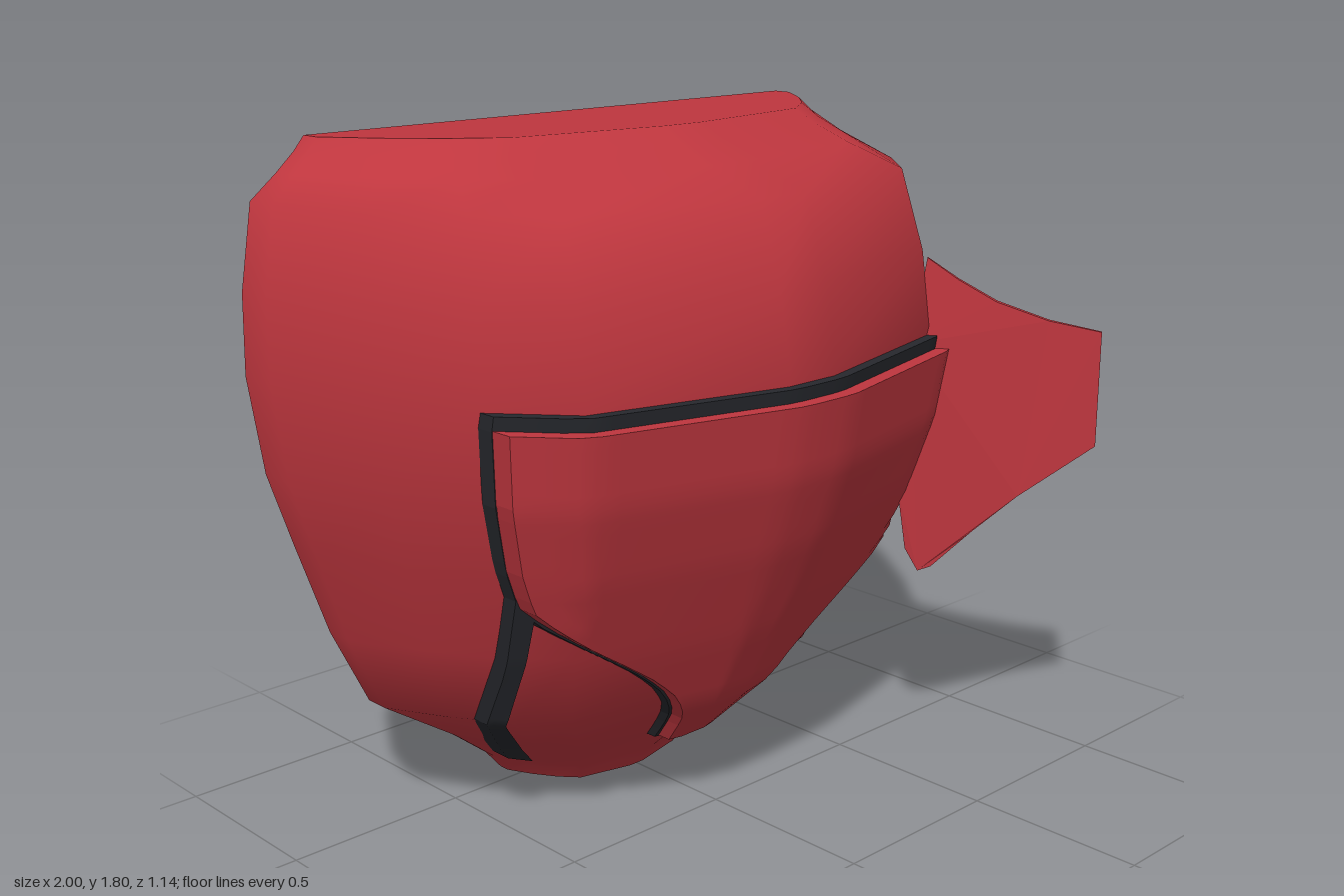
import * as THREE from 'three';

const BACK = -0.57;
// body levels: height, half width, front depth
const LEVELS = [
  [0, 0.29, -0.32], [0.06, 0.34, -0.28], [0.17, 0.475, -0.16], [0.33, 0.71, 0],
  [0.55, 0.815, 0.11], [0.8, 0.9, 0.22], [1.0, 0.965, 0.29], [1.25, 1, 0.335],
  [1.45, 0.993, 0.3], [1.66, 0.955, 0.23], [1.72, 0.88, 0.05], [1.765, 0.83, -0.06], [1.8, 0.8, -0.12],
];
// shared half cross-section: fraction of half width, fraction of depth
const SECTION = [[0.08, 1], [0.6, 0.85], [0.75, 0.652], [0.88, 0.41], [1, 0.12], [1, 0]];

// piecewise linear lookup of column c in a table sorted by its first column
function lookup(table, v, c = 1) {
  if (v <= table[0][0]) return table[0][c];
  for (let i = 1; i < table.length; i++) {
    const a = table[i - 1], b = table[i];
    if (v <= b[0]) return b[0] === a[0] ? b[c] : a[c] + (b[c] - a[c]) * (v - a[0]) / (b[0] - a[0]);
  }
  return table[table.length - 1][c];
}

// depth of the body surface, inflated by d
function surfaceZ(x, y, d) {
  const w = lookup(LEVELS, y, 1) + d, f = lookup(LEVELS, y, 2) + d;
  return BACK + (f - BACK) * lookup(SECTION, Math.abs(x) / w);
}

// surface through rows of points
function gridGeometry(rows, flat = false) {
  const n = rows[0].length, index = [];
  for (let r = 0; r < rows.length - 1; r++) {
    for (let c = 0; c < n - 1; c++) {
      const a = r * n + c, b = a + n;
      index.push(a, a + 1, b + 1, a, b + 1, b);
    }
  }
  let g = new THREE.BufferGeometry();
  g.setAttribute('position', new THREE.Float32BufferAttribute(rows.flat(2), 3));
  g.setIndex(index);
  if (flat) g = g.toNonIndexed();
  g.computeVertexNormals();
  return g;
}

function ring([y, w, f]) {
  const half = SECTION.map(([a, b]) => [a * w, y, BACK + b * (f - BACK)]);
  return [...half.map(([x, h, z]) => [-x, h, z]).reverse(), ...half];
}

function flatShape(points) {
  return new THREE.ShapeGeometry(new THREE.Shape(points.map(([a, b]) => new THREE.Vector2(a, b))));
}

export function createModel() {
  const model = new THREE.Group();
  const red = new THREE.MeshStandardMaterial({ color: 0xbe363e });
  red.name = 'red shell';
  const dark = new THREE.MeshStandardMaterial({ color: 0x26282d });
  dark.name = 'dark trim';

  const add = (name, geometry, material, parent = model) => {
    const mesh = new THREE.Mesh(geometry, material);
    mesh.name = name;
    parent.add(mesh);
    return mesh;
  };

  // main shell with flat back, lid and base
  const body = new THREE.Group();
  body.name = 'body';
  model.add(body);
  add('bodyShell', gridGeometry(LEVELS.map(ring)), red, body);
  const outline = [...LEVELS.map(([y, w]) => [w, y]), ...LEVELS.map(([y, w]) => [-w, y]).reverse()];
  add('bodyBack', flatShape(outline).rotateY(Math.PI).translate(0, 0, BACK), red, body);
  const top = LEVELS[LEVELS.length - 1];
  add('bodyTop', flatShape(ring(top).map(([x, , z]) => [x, -z])).rotateX(-Math.PI / 2).translate(0, top[0], 0), red, body);
  add('bodyBase', flatShape(ring(LEVELS[0]).map(([x, , z]) => [x, z])).rotateX(Math.PI / 2), red, body);

  // slab that hugs the body between two side curves
  function slab(name, y0, y1, left, right, inner, outer, cols, material) {
    const rowCount = 28;
    const layer = (d) => Array.from({ length: rowCount + 1 }, (_, r) => {
      const y = y0 + (y1 - y0) * r / rowCount;
      return Array.from({ length: cols + 1 }, (_, c) => {
        const x = left(y) + (right(y) - left(y)) * c / cols;
        return [x, y, surfaceZ(x, y, d)];
      });
    });
    const rim = (rows) => [
      ...rows[0], ...rows.map((r) => r[cols]),
      ...[...rows[rowCount]].reverse(), ...rows.map((r) => r[0]).reverse(),
    ];
    const front = layer(outer);
    const group = new THREE.Group();
    group.name = name;
    model.add(group);
    add(name + 'Face', gridGeometry(front), material, group);
    add(name + 'Rim', gridGeometry([rim(layer(inner)), rim(front)], true), material, group);
  }

  // raised front plate on its dark backing
  const EDGE = [[0.17, 0.08], [0.27, 0.12], [0.38, 0.2], [0.45, 0.28], [0.52, 0.38], [0.6, 0.5],
    [0.66, 0.58], [0.72, 0.64], [0.82, 0.68], [1.0, 0.73], [1.19, 0.75]];
  const edge = (y) => lookup(EDGE, y);
  const wide = (y) => edge(y) + (y < 0.72 ? 0.008 : 0.001);
  slab('frontPlate', 0.17, 1.19, (y) => -edge(y), edge, 0.03, 0.07, 30, red);
  slab('plateBacking', 0.165, 1.225, (y) => -wide(y), wide, -0.02, 0.03, 30, dark);

  // dark strips running down from the plate corners
  const OUT = [[0.1, 0.372], [0.33, 0.588], [0.75, 0.65]];
  const IN = [[0.1, 0.335], [0.33, 0.56], [0.75, 0.615]];
  slab('leftStrip', 0.1, 0.75, (y) => lookup(IN, y), (y) => lookup(OUT, y), -0.02, 0.03, 3, dark);
  slab('rightStrip', 0.1, 0.75, (y) => -lookup(OUT, y), (y) => -lookup(IN, y), -0.02, 0.03, 3, dark);

  // tapered fin on the left side, outlined by depth and height
  const FIN = [[0.18, 1.43], [0.15, 1.2], [0.13, 1.0], [0.13, 0.8], [0.15, 0.62], [0.18, 0.555],
    [0.21, 0.57], [0.3, 0.68], [0.4, 0.79], [0.565, 0.94], [0.565, 1.25], [0.45, 1.275], [0.335, 1.32], [0.25, 1.375]];
  const finShape = new THREE.Shape(FIN.map(([z, y]) => new THREE.Vector2((z - 0.18) / 0.38, y)));
  const fin = new THREE.ExtrudeGeometry(finShape, { depth: 1, bevelEnabled: false });
  const p = fin.attributes.position;
  for (let i = 0; i < p.count; i++) {
    const t = p.getX(i), y = p.getY(i);
    const bulge = Math.max(0, Math.sin((y - 0.55) / 0.88 * Math.PI));
    const s = (p.getZ(i) - 0.5) * (0.01 + 0.05 * Math.max(0, 1 - t) * bulge);
    p.setXYZ(i, 0.605 + 0.252 * t - 0.826 * s, y, 0.18 + 0.38 * t + 0.565 * s);
  }
  fin.computeVertexNormals();
  add('sideFin', fin, red);

  return model;
}
